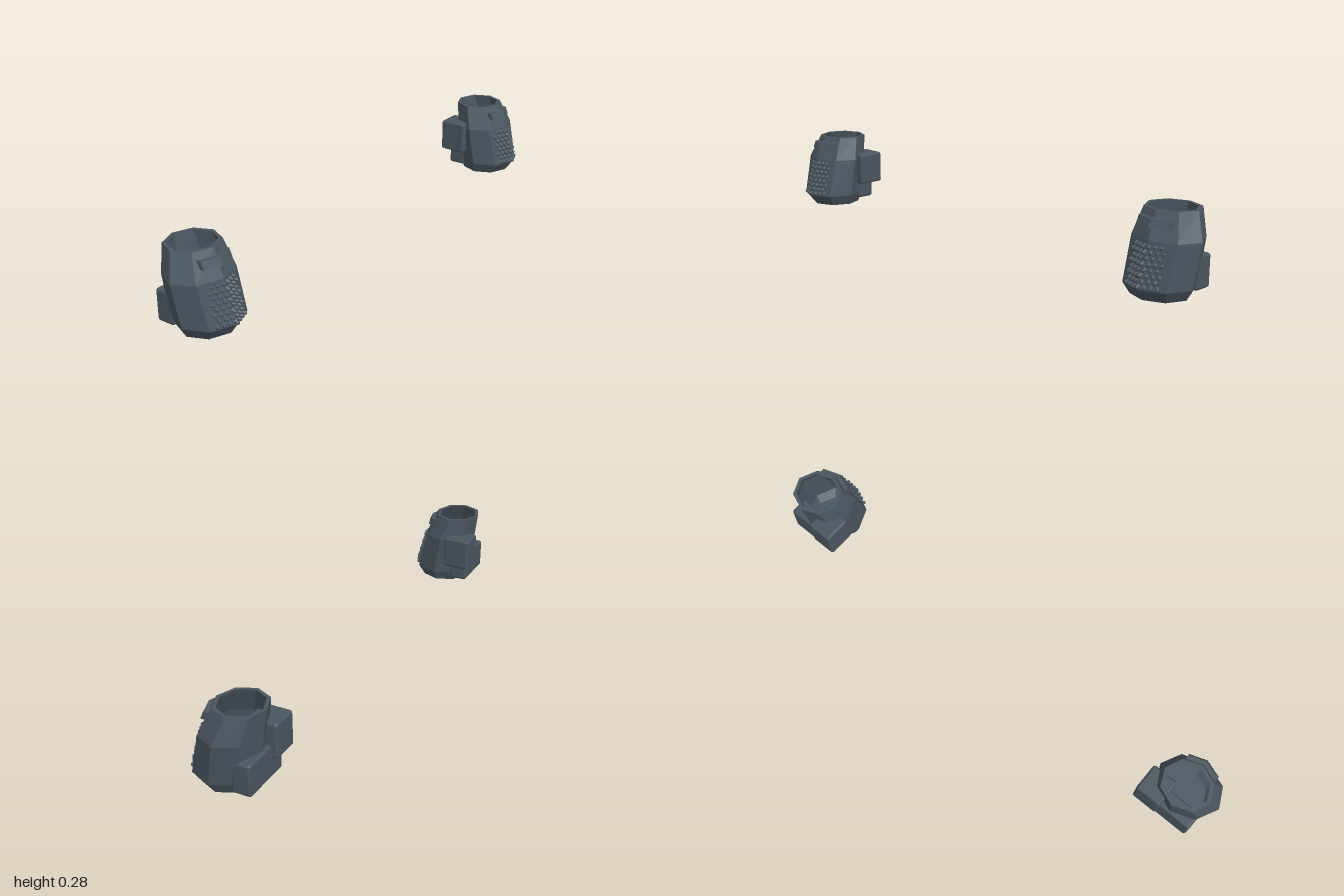
import * as THREE from 'three';
import { mergeGeometries } from 'three/addons/utils/BufferGeometryUtils.js';
import { RoundedBoxGeometry } from 'three/addons/geometries/RoundedBoxGeometry.js';

const SIDES = 8;
// outer rings: height, centre z, half width in x, half depth in z, centre x
const RINGS = [
  [0, 0.011, 0.1, 0.095, 0.865],
  [0.04, 0.018, 0.121, 0.118, 0.868],
  [0.19, -0.009, 0.127, 0.105, 0.873],
  [0.28, -0.037, 0.096, 0.09, 0.866],
];

// front ridge depth of the shell at a height
function frontZ(y) {
  let i = 0;
  while (i < RINGS.length - 2 && y > RINGS[i + 1][0]) i++;
  const [a, b] = [RINGS[i], RINGS[i + 1]];
  const t = (y - a[0]) / (b[0] - a[0]);
  return THREE.MathUtils.lerp(a[1] + a[3], b[1] + b[3], t);
}

// hollow eight-sided shell, open at the top, with a floor inside
function shellGeometry(side) {
  const inner = RINGS.map(([y, z, w, d, x]) => [Math.max(y, 0.015), z, w - 0.013, d - 0.013, x]).reverse();
  const first = RINGS[0], last = inner[inner.length - 1];
  const rings = [
    [first[0], first[1], 0, 0, first[4]], ...RINGS,
    ...inner, [last[0], last[1], 0, 0, last[4]],
  ];
  const point = ([y, z, w, d, x], i) => {
    const a = (i / SIDES) * Math.PI * 2;
    return [side * x + w * Math.sin(a), y, z + d * Math.cos(a)];
  };
  const pos = [];
  for (let r = 0; r < rings.length - 1; r++) {
    for (let i = 0; i < SIDES; i++) {
      const a = point(rings[r], i), b = point(rings[r], i + 1);
      const c = point(rings[r + 1], i + 1), d = point(rings[r + 1], i);
      if (rings[r][2] > 0) pos.push(...a, ...b, ...c);
      if (rings[r + 1][2] > 0) pos.push(...a, ...c, ...d);
    }
  }
  const g = new THREE.BufferGeometry();
  g.setAttribute('position', new THREE.Float32BufferAttribute(pos, 3));
  g.computeVertexNormals();
  return g;
}

// staggered field of small studs following the two front faces
function studGeometry() {
  const studs = [];
  for (let row = 0; row < 8; row++) {
    const y = 0.048 + row * 0.0177;
    const count = row % 2 ? 6 : 7;
    for (let c = 0; c < count; c++) {
      const x = (c - (count - 1) / 2) * 0.0195;
      const g = new THREE.CylinderGeometry(0.005, 0.0105, 0.016, 6);
      g.rotateX(Math.PI / 2 + 0.2);
      g.rotateY(Math.sign(x) * 0.36);
      g.translate(x, y, frontZ(y) - Math.abs(x) * 0.4 + 0.002);
      studs.push(g);
    }
  }
  return mergeGeometries(studs);
}

// bent bar wrapping the front ridge, sheared to lean with the shell
function barGeometry() {
  const w = 0.063, bend = 0.021, depth = 0.025;
  const s = new THREE.Shape([
    [-w, bend], [0, 0], [w, bend], [w, bend + depth], [0, depth], [-w, bend + depth],
  ].map(([x, y]) => new THREE.Vector2(x, y)));
  const g = new THREE.ExtrudeGeometry(s, { depth: 0.027, bevelEnabled: false });
  g.rotateX(-Math.PI / 2);
  g.scale(1, 1, 1);
  const p = g.attributes.position;
  for (let i = 0; i < p.count; i++) {
    p.setZ(i, p.getZ(i) + 0.092 - p.getY(i) * 0.45);
    p.setY(i, p.getY(i) + 0.23);
  }
  g.computeVertexNormals();
  return g;
}

// rounded block between two corners
function block(x0, x1, y0, y1, z0, z1) {
  const g = new RoundedBoxGeometry(x1 - x0, y1 - y0, z1 - z0, 2, 0.01);
  g.translate((x0 + x1) / 2, (y0 + y1) / 2, (z0 + z1) / 2);
  return g;
}

export function createModel() {
  const model = new THREE.Group();
  model.name = 'cuffPair';
  const flat = new THREE.MeshStandardMaterial({ color: 0x4a555f, flatShading: true });
  const smooth = new THREE.MeshStandardMaterial({ color: 0x4a555f });

  for (const side of [1, -1]) {
    const cuff = new THREE.Group();
    cuff.name = side > 0 ? 'leftCuff' : 'rightCuff';
    const add = (name, geometry, material, x = 0) => {
      const m = new THREE.Mesh(geometry, material);
      m.name = name;
      m.position.x = side * x;
      cuff.add(m);
    };
    add('shell', shellGeometry(side), flat);
    add('gripStuds', studGeometry(), flat, 0.868);
    add('frontBar', barGeometry(), flat, 0.868);
    // blocks on the back: a wide low one and a tall one toward the middle
    add('lowerBackBlock', block(-0.095, 0.095, 0.015, 0.13, -0.117, -0.046), smooth, 0.868);
    add('upperBackBlock', block(-0.051, 0.051, 0.083, 0.21, -0.138, -0.03), smooth, 0.784);
    model.add(cuff);
  }
  return model;
}
